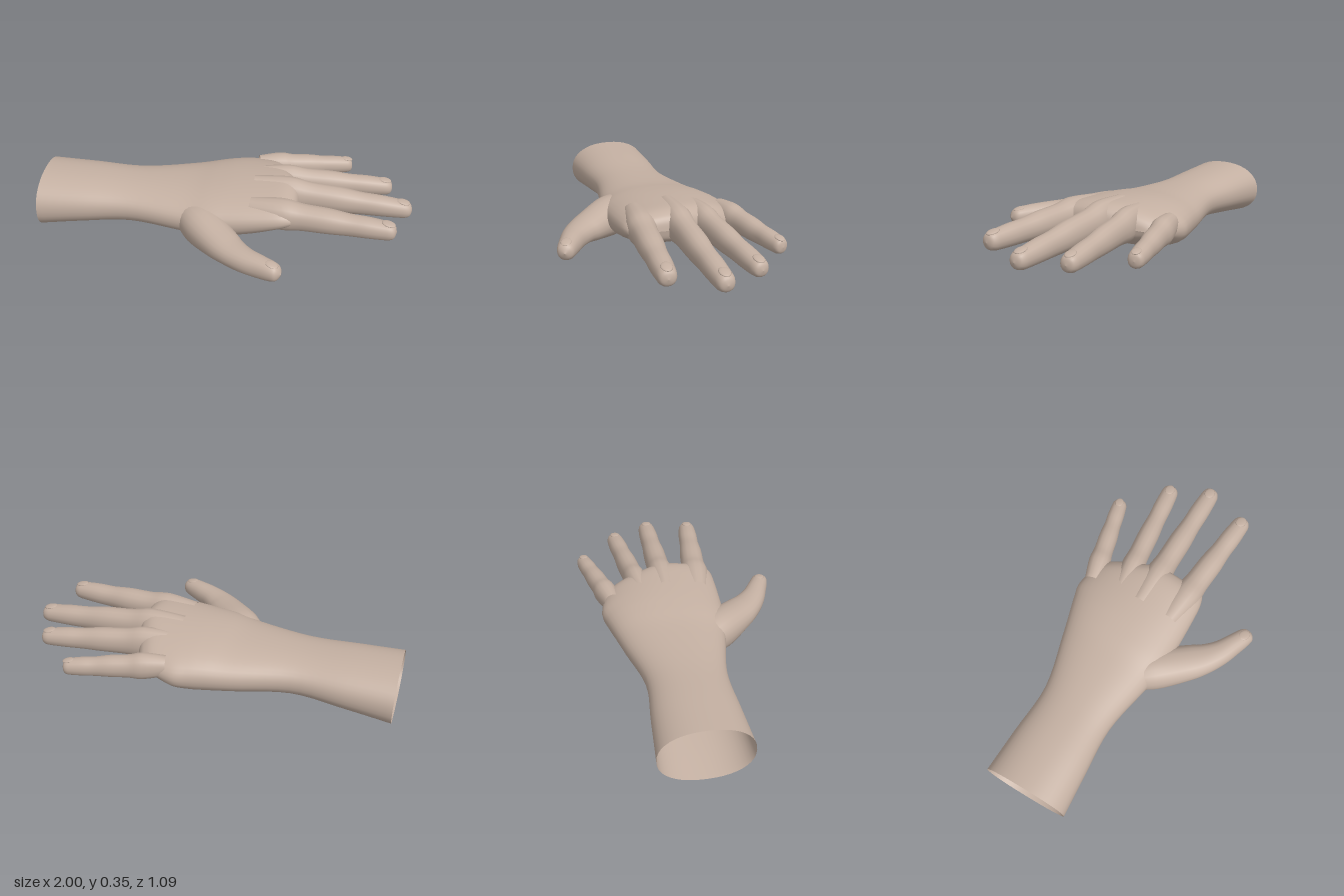
import * as THREE from 'three';

const skin = new THREE.MeshStandardMaterial({ color: 0xc4b0a2, side: THREE.DoubleSide });

// Catmull-Rom interpolation of whole section rows
function sampleRows(rows, steps) {
  const out = [];
  const last = rows.length - 1;
  for (let i = 0; i < last; i++) {
    const [a, b, c, d] = [rows[Math.max(i - 1, 0)], rows[i], rows[i + 1], rows[Math.min(i + 2, last)]];
    for (let s = 0; s < steps; s++) {
      const t = s / steps;
      out.push(b.map((v, k) => 0.5 * (2 * v + (c[k] - a[k]) * t
        + (2 * a[k] - 5 * v + 4 * c[k] - d[k]) * t * t
        + (3 * v - a[k] - 3 * c[k] + d[k]) * t * t * t)));
    }
  }
  out.push(rows[last]);
  return out;
}

// Skin over sections [x, y, z, halfWidth, heightAbove, depthBelow]
function loft(name, rows, sides, steps, power = 1, straight = false, warp = null) {
  const secs = sampleRows(rows, steps);
  const pos = [], index = [];
  const p = new THREE.Vector3();
  const bend = (v) => Math.sign(v) * Math.pow(Math.abs(v), power);
  secs.forEach(([x, y, z, w, up, down], i) => {
    const a = secs[Math.max(i - 1, 0)], b = secs[Math.min(i + 1, secs.length - 1)];
    const dir = straight ? new THREE.Vector3(1, 0, 0) : new THREE.Vector3(b[0] - a[0], 0, b[2] - a[2]).normalize();
    for (let j = 0; j < sides; j++) {
      const t = (j / sides) * Math.PI * 2;
      const c = bend(Math.cos(t)) * Math.max(w, 0);
      const s = bend(Math.sin(t)) * Math.max(Math.sin(t) > 0 ? up : down, 0);
      p.set(x - dir.z * c, y + s, z + dir.x * c);
      if (warp) warp(p);
      pos.push(p.x, p.y, p.z);
      if (i < secs.length - 1) {
        const k = i * sides + j, n = i * sides + (j + 1) % sides;
        index.push(k, k + sides, n, n, k + sides, n + sides);
      }
    }
  });
  const geo = new THREE.BufferGeometry();
  geo.setAttribute('position', new THREE.Float32BufferAttribute(pos, 3));
  geo.setIndex(index);
  geo.computeVertexNormals();
  const mesh = new THREE.Mesh(geo, skin);
  mesh.name = name;
  return mesh;
}

// Shallow nail lying on a fingertip
function nail(name, x, y, z, yaw, size) {
  const mesh = new THREE.Mesh(new THREE.SphereGeometry(1, 14, 8), skin);
  mesh.name = name;
  mesh.scale.set(size, size * 0.22, size * 0.75);
  mesh.position.set(x, y, z);
  mesh.rotation.set(0, yaw, -0.2);
  return mesh;
}

// Finger running from inside the palm to its tip
function finger(name, base, tip, wBase, wTip, hBase, hTip) {
  // position along finger, taper, end rounding, joint swelling
  const profile = [
    [0, 0, 0.75, 1], [0.22, 0.1, 1, 1], [0.36, 0.4, 1, 0.98], [0.54, 0.6, 1, 1.04], [0.68, 0.75, 1, 0.97],
    [0.8, 0.88, 1, 1.03], [0.91, 1, 1, 1], [0.96, 1, 0.9, 1], [0.988, 1, 0.62, 1], [1, 1, 0, 1],
  ];
  const mix = THREE.MathUtils.lerp;
  const rows = profile.map(([t, k, round, joint]) => {
    const w = mix(wBase, wTip, k) * round * joint;
    const h = mix(hBase, hTip, k) * round;
    return [mix(base[0], tip[0], t), mix(base[1], tip[1], t), mix(base[2], tip[2], t), w, h * joint, h];
  });
  const group = new THREE.Group();
  group.name = name;
  const yaw = -Math.atan2(tip[2] - base[2], tip[0] - base[0]);
  group.add(loft(name + 'Skin', rows, 16, 4, 0.92));
  group.add(nail(name + 'Nail', mix(base[0], tip[0], 0.94), mix(base[1], tip[1], 0.94) + hTip * 0.86,
    mix(base[2], tip[2], 0.94), yaw, wTip * 0.75));
  return group;
}

export function createModel() {
  const hand = new THREE.Group();
  hand.name = 'hand';

  // Forearm and palm: open at the arm end, closed behind the finger roots
  const armRows = [
    [-0.987, 0.15, 0.02, 0.23, 0.152, 0.15],
    [-0.75, 0.165, 0.003, 0.217, 0.13, 0.13],
    [-0.48, 0.178, -0.015, 0.205, 0.108, 0.113],
    [-0.2, 0.178, -0.045, 0.268, 0.118, 0.125],
    [-0.05, 0.188, -0.06, 0.305, 0.126, 0.14],
    [0.06, 0.2, -0.075, 0.316, 0.126, 0.14],
    [0.2, 0.22, -0.09, 0.322, 0.115, 0.125],
    [0.32, 0.237, -0.09, 0.31, 0.1, 0.09],
    [0.375, 0.243, -0.085, 0.29, 0.075, 0.07],
    [0.4, 0.243, -0.08, 0.27, 0.045, 0.045],
    [0.41, 0.243, -0.08, 0.25, 0, 0],
  ];
  const slantEnds = (p) => {
    // the arm is cut at a slight angle; the little-finger side of the palm is shorter and lower
    p.x += 0.065 * p.z * (1 - THREE.MathUtils.smoothstep(p.x, -1, -0.5));
    const palm = THREE.MathUtils.smoothstep(p.x, -0.1, 0.32);
    const side = Math.max(0, -p.z - 0.08);
    p.x -= 0.42 * side * palm;
    p.y -= 0.1 * side * palm;
  };
  hand.add(loft('forearmAndPalm', armRows, 40, 5, 0.9, true, slantEnds));

  // Four fingers
  hand.add(finger('indexFinger', [0.17, 0.252, 0.117], [0.925, 0.232, 0.138], 0.08, 0.05, 0.088, 0.05));
  hand.add(finger('middleFinger', [0.16, 0.264, -0.058], [0.997, 0.207, -0.112], 0.074, 0.05, 0.1, 0.05));
  hand.add(finger('ringFinger', [0.16, 0.252, -0.185], [0.884, 0.205, -0.317], 0.064, 0.048, 0.092, 0.048));
  hand.add(finger('littleFinger', [0.14, 0.23, -0.35], [0.648, 0.2, -0.512], 0.062, 0.042, 0.075, 0.045));

  // Thumb with its fleshy root
  const thumbRows = [
    [-0.2, 0.17, 0.08, 0.07, 0.07, 0.08],
    [-0.08, 0.168, 0.19, 0.105, 0.1, 0.11],
    [0.06, 0.163, 0.325, 0.096, 0.078, 0.075],
    [0.125, 0.165, 0.385, 0.082, 0.064, 0.062],
    [0.2, 0.165, 0.435, 0.067, 0.06, 0.06],
    [0.28, 0.165, 0.47, 0.056, 0.058, 0.056],
    [0.35, 0.168, 0.498, 0.047, 0.048, 0.05],
    [0.38, 0.168, 0.508, 0.034, 0.033, 0.036],
    [0.396, 0.168, 0.513, 0, 0, 0],
  ];
  const thumb = new THREE.Group();
  thumb.name = 'thumb';
  thumb.add(loft('thumbSkin', thumbRows, 20, 5, 0.92));
  thumb.add(nail('thumbNail', 0.345, 0.21, 0.497, -0.35, 0.036));
  hand.add(thumb);

  return hand;
}
